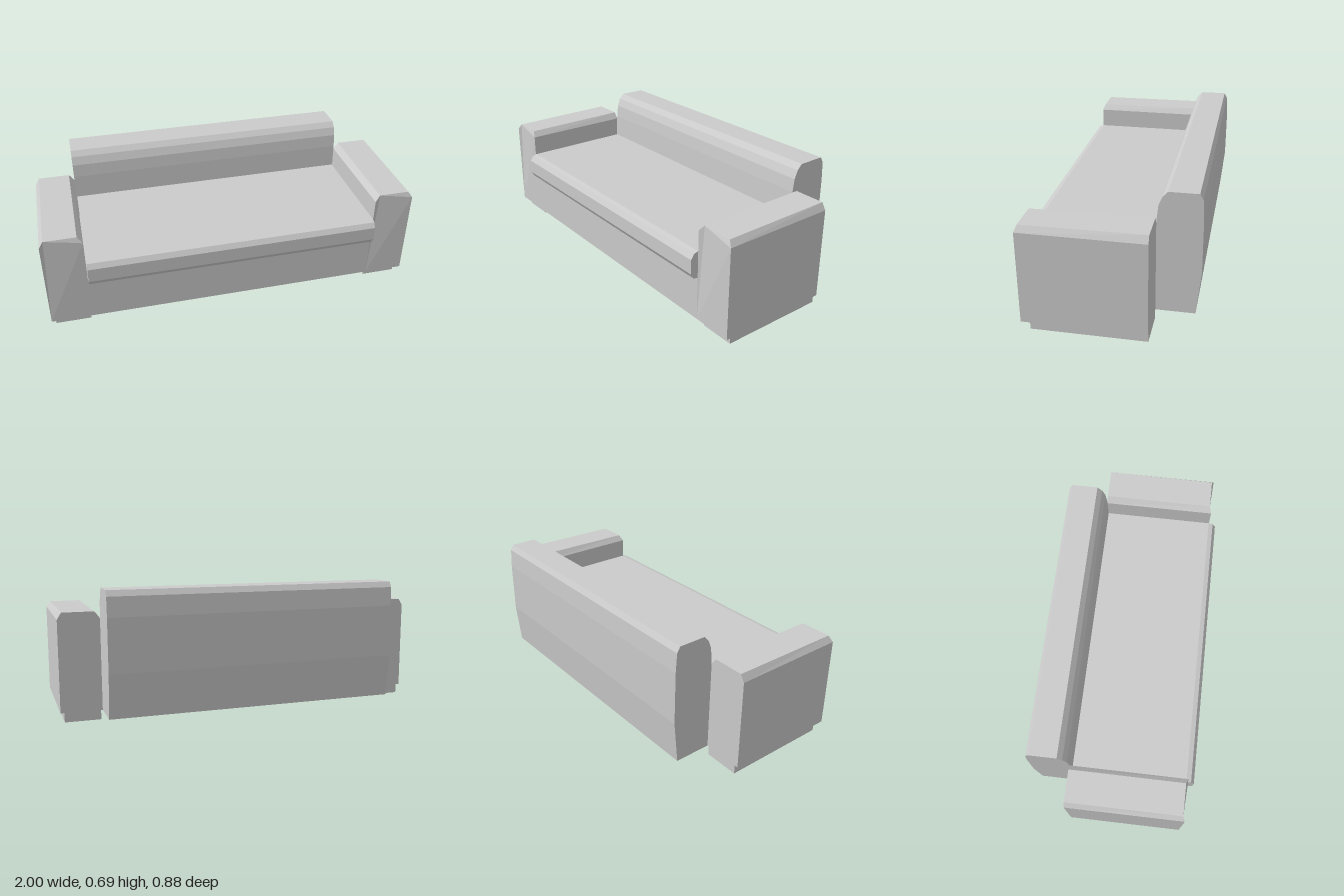
import * as THREE from 'three';

const material = new THREE.MeshStandardMaterial({ color: 0xcccccc, flatShading: true });

function addMesh(group, name, geometry) {
  const mesh = new THREE.Mesh(geometry, material);
  mesh.name = name;
  group.add(mesh);
  return mesh;
}

function extrude(points, depth) {
  const shape = new THREE.Shape(points.map(([a, b]) => new THREE.Vector2(a, b)));
  return new THREE.ExtrudeGeometry(shape, { depth, bevelEnabled: false });
}

// Sweeps a (z, y) side profile across the width, centred on x = 0
function sweepAcross(points, width) {
  return extrude(points, width).translate(0, 0, -width / 2).rotateY(-Math.PI / 2);
}

// Arm block with chamfered top edges; side is +1 (left) or -1 (right)
function armGeometry(side) {
  const profile = [
    [0.785, 0.05], [1, 0.05], [1, 0.532], [0.978, 0.565], [0.812, 0.565], [0.785, 0.532],
  ].map(([x, y]) => [x * side, y]);
  const geometry = extrude(profile, 0.618).translate(0, 0, -0.218);
  // Slope the front of the top chamfer back and raise the rear slightly
  const p = geometry.attributes.position;
  for (let i = 0; i < p.count; i++) {
    if (p.getY(i) < 0.55) continue;
    if (p.getZ(i) > 0) p.setXYZ(i, p.getX(i), 0.563, 0.388);
    else p.setY(i, 0.568);
  }
  geometry.computeVertexNormals();
  return geometry;
}

export function createModel() {
  const sofa = new THREE.Group();
  sofa.name = 'sofa';

  // Base between the arms
  const base = addMesh(sofa, 'base', new THREE.BoxGeometry(1.57, 0.24, 0.615));
  base.position.set(0, 0.17, 0.0925);

  // Seat cushion with a rounded, overhanging front edge
  addMesh(sofa, 'seatCushion', sweepAcross([
    [-0.215, 0.278], [0.398, 0.278], [0.423, 0.284], [0.44, 0.312],
    [0.44, 0.388], [0.423, 0.415], [0.398, 0.422], [-0.215, 0.422],
  ], 1.565));

  // Backrest with a rolled top
  addMesh(sofa, 'backrest', sweepAcross([
    [-0.217, 0.05], [-0.211, 0.25], [-0.213, 0.42], [-0.219, 0.55],
    [-0.227, 0.62], [-0.245, 0.664], [-0.271, 0.692], [-0.416, 0.692],
    [-0.433, 0.662], [-0.439, 0.56], [-0.439, 0.28], [-0.416, 0.05],
  ], 1.57));

  // Arms and the plinth foot under each
  for (const side of [1, -1]) {
    const label = side > 0 ? 'left' : 'right';
    addMesh(sofa, label + 'Arm', armGeometry(side));
    const foot = addMesh(sofa, label + 'Foot', new THREE.BoxGeometry(0.187, 0.052, 0.577));
    foot.position.set(side * 0.887, 0.026, 0.0715);
  }
  return sofa;
}
